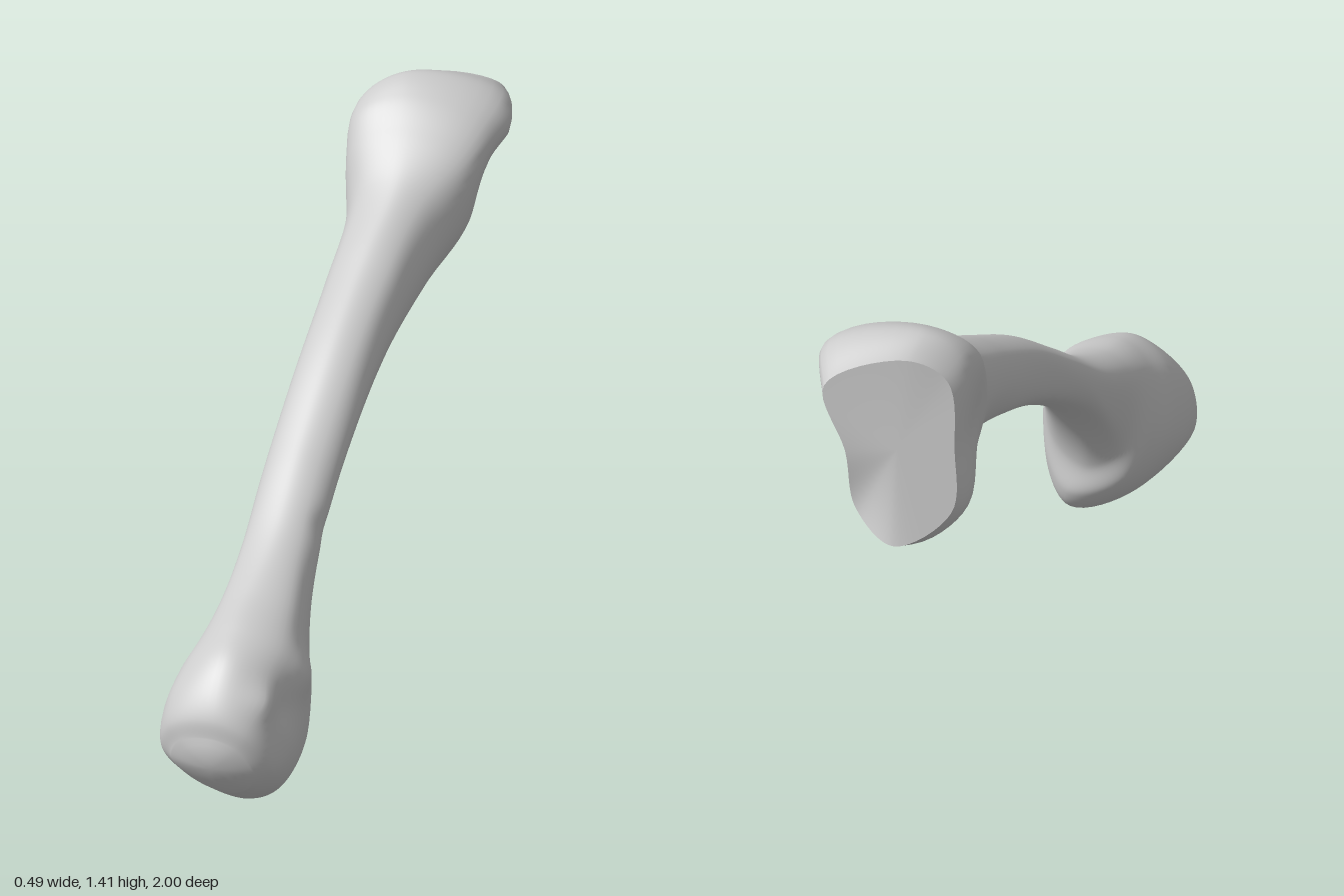
import * as THREE from 'three';

// Each cross-section: dorsal z,y, plantar z,y, then eight x values running
// top, right x3, bottom, left x3 at the depths listed in LEVELS.
const LEVELS = [0, 0.13, 0.5, 0.84, 1, 0.84, 0.5, 0.13];

const base = [
  [-0.96, 1.37, -0.96, 0.89, -0.07, 0.115, 0.045, 0.01, -0.11, -0.23, -0.215, -0.175],
  [-0.85, 1.408, -0.85, 0.848, -0.07, 0.175, 0.1, 0.015, -0.12, -0.235, -0.215, -0.19],
  [-0.72, 1.38, -0.72, 0.85, -0.04, 0.18, 0.15, 0.03, -0.1, -0.2, -0.195, -0.19],
  [-0.60, 1.315, -0.60, 0.857, -0.02, 0.155, 0.16, 0.06, -0.06, -0.14, -0.18, -0.165],
];
const shaft = [
  [-0.47, 1.22, -0.42, 0.873, 0, 0.09, 0.125, 0.085, -0.01, -0.09, -0.135, -0.105],
  [-0.26, 1.10, -0.17, 0.81, 0, 0.075, 0.11, 0.085, 0, -0.085, -0.11, -0.08],
  [0, 0.95, 0.10, 0.68, 0.01, 0.08, 0.118, 0.09, 0.01, -0.068, -0.088, -0.065],
  [0.25, 0.77, 0.37, 0.487, 0.02, 0.09, 0.132, 0.1, 0.03, -0.045, -0.073, -0.052],
  [0.465, 0.615, 0.50, 0.34, 0.04, 0.12, 0.158, 0.125, 0.04, -0.035, -0.058, -0.042],
];
const head = [
  [0.64, 0.53, 0.555, 0.215, 0.045, 0.16, 0.195, 0.155, 0.06, -0.03, -0.06, -0.038],
  [0.78, 0.485, 0.55, 0.12, 0.06, 0.19, 0.225, 0.18, 0.1, -0.045, -0.09, -0.04],
  [0.88, 0.44, 0.595, 0.05, 0.07, 0.19, 0.235, 0.2, 0.12, -0.035, -0.108, -0.055],
  [0.95, 0.37, 0.745, 0.003, 0.075, 0.19, 0.245, 0.205, 0.13, -0.015, -0.108, -0.065],
  [0.987, 0.305, 0.86, 0.03, 0.08, 0.175, 0.228, 0.195, 0.12, -0.005, -0.09, -0.05],
  [0.995, 0.255, 0.94, 0.08, 0.08, 0.145, 0.185, 0.165, 0.1, 0.01, -0.045, -0.01],
];

// Local relief: centre, radius, push (outward for knobs, inward for hollows)
const reliefs = [
  { at: [0.2, 0.35, 0.72], radius: 0.06, push: [0.025, 0, 0] }, // head tubercle
  { at: [0.2, 0.36, 0.92], radius: 0.05, push: [0.02, 0, 0] }, // condyle rim
  { at: [0.18, 1.27, -0.78], radius: 0.06, push: [0.015, 0, 0] }, // base tubercle
  { at: [0.14, 1.14, -0.74], radius: 0.075, push: [-0.06, 0, 0] },
  { at: [0.05, 1.0, -0.74], radius: 0.06, push: [-0.015, 0, 0] },
  { at: [0.13, 0.61, 0.36], radius: 0.04, push: [-0.006, 0, 0] },
  { at: [0.23, 0.3, 0.84], radius: 0.05, push: [-0.01, 0, 0] },
  { at: [0.12, 0.12, 0.97], radius: 0.035, push: [0, 0, -0.008] },
];

const RING = 64;
const STEPS = 150;

// Oblique joint facet at the back end, bent slightly along its left side
const facetZ = (x, y) => Math.max(
  -0.84 - 0.62 * (x + 0.09) + 0.38 * (y - 1.33),
  -1 + 0.25 * (x + 0.09),
);

function sectionRing([dz, dy, pz, py, ...xs]) {
  const points = xs.map((x, i) => {
    const v = LEVELS[i];
    const y = dy + (py - dy) * v;
    let z = dz + (pz - dz) * v;
    // Ease the upright sections of the base into the oblique facet
    if (z < -0.5) z = -0.5 + ((z + 0.5) / -0.46) * (facetZ(x, y) + 0.5);
    return new THREE.Vector3(x, y, z);
  });
  const curve = new THREE.CatmullRomCurve3(points, true);
  return Array.from({ length: RING }, (_, j) => curve.getPoint(j / RING));
}

function applyRelief(p) {
  const origin = p.clone();
  for (const { at, radius, push } of reliefs) {
    const d = origin.distanceTo(new THREE.Vector3(...at)) / radius;
    p.addScaledVector(new THREE.Vector3(...push), Math.exp(-d * d));
  }
  return p;
}

function centroid(points) {
  return points.reduce((s, p) => s.add(p), new THREE.Vector3()).divideScalar(points.length);
}

function makeGeometry(points, index) {
  const geometry = new THREE.BufferGeometry().setFromPoints(points);
  geometry.setIndex(index);
  geometry.computeVertexNormals();
  return geometry;
}

export function createModel() {
  const group = new THREE.Group();
  const material = new THREE.MeshStandardMaterial({ color: 0xcccccc });
  const add = (name, geometry) => {
    const mesh = new THREE.Mesh(geometry, material);
    mesh.name = name;
    group.add(mesh);
  };

  // Bone body: sections joined by smooth lengthwise curves
  const rings = [...base, ...shaft, ...head].map(sectionRing);
  const rails = Array.from({ length: RING }, (_, j) =>
    new THREE.CatmullRomCurve3(rings.map((ring) => ring[j])));
  const points = [];
  for (let i = 0; i <= STEPS; i++) {
    for (const rail of rails) points.push(applyRelief(rail.getPoint(i / STEPS)));
  }

  // Rounded tip of the head: shrinking rings on a shallow dome
  const tipRing = points.slice(-RING);
  const tip = centroid(tipRing);
  const domeScales = [0.8, 0.6, 0.4, 0.2];
  const domeHeight = 0.028;
  for (const scale of domeScales) {
    for (const p of tipRing) {
      const q = tip.clone().lerp(p, scale);
      q.z += domeHeight * (1 - scale * scale);
      points.push(q);
    }
  }

  const index = [];
  const bands = STEPS + domeScales.length;
  for (let i = 0; i < bands; i++) {
    for (let j = 0; j < RING; j++) {
      const a = i * RING + j;
      const c = i * RING + (j + 1) % RING;
      index.push(a, a + RING, c, c, a + RING, c + RING);
    }
  }
  const last = bands * RING;
  points.push(tip.clone().setZ(tip.z + domeHeight));
  for (let j = 0; j < RING; j++) index.push(last + RING, last + (j + 1) % RING, last + j);
  add('boneBody', makeGeometry(points, index));

  // Joint facet closing the back end with a sharp rim
  const rim = points.slice(0, RING);
  const facetIndex = [];
  for (let j = 0; j < RING; j++) facetIndex.push(RING, j, (j + 1) % RING);
  add('jointFacet', makeGeometry([...rim, centroid(rim)], facetIndex));

  return group;
}
